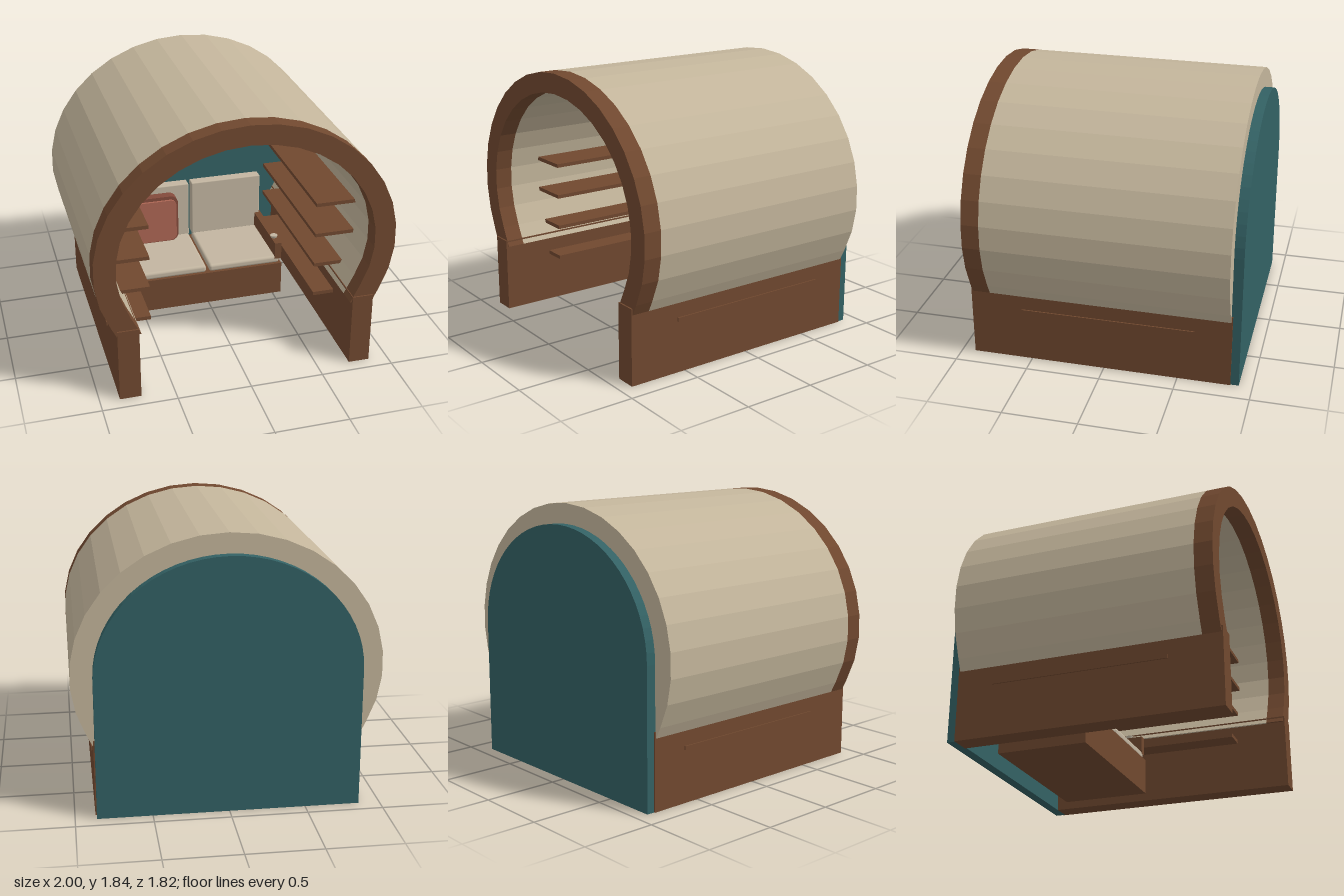
import * as THREE from 'three';
import { RoundedBoxGeometry } from 'three/addons/geometries/RoundedBoxGeometry.js';

const material = (name, color) => {
  const m = new THREE.MeshStandardMaterial({ color });
  m.name = name;
  return m;
};

export function createModel() {
  const model = new THREE.Group();
  model.name = 'archedBooth';

  const wood = material('brown wood', 0x70482f);
  const cream = material('cream shell', 0xc3b59b);
  const fabric = material('cream fabric', 0xc2b5a0);
  const teal = material('teal panel', 0x336164);
  const coral = material('coral pillow', 0xab6553);
  const piping = material('dark coral piping', 0x834a3b);

  const add = (name, geometry, mat, x = 0, y = 0, z = 0) => {
    const mesh = new THREE.Mesh(geometry, mat);
    mesh.name = name;
    mesh.position.set(x, y, z);
    model.add(mesh);
    return mesh;
  };
  // box given by its limits on each axis
  const box = (name, mat, x0, x1, y0, y1, z0, z1, radius = 0) => {
    const size = [Math.abs(x1 - x0), y1 - y0, z1 - z0];
    const geometry = radius
      ? new RoundedBoxGeometry(...size, 3, radius)
      : new THREE.BoxGeometry(...size);
    return add(name, geometry, mat, (x0 + x1) / 2, (y0 + y1) / 2, (z0 + z1) / 2);
  };
  const extrude = (shape, depth) =>
    new THREE.ExtrudeGeometry(shape, { depth, bevelEnabled: false, curveSegments: 6 });

  // Faceted arch: a thick elliptical band, cut off above the side walls
  const centreY = 0.935;
  const band = (rx, ry, endX, endY) => {
    const points = [new THREE.Vector2(-endX, endY)];
    for (let i = -11; i <= 11; i++) {
      const a = THREE.MathUtils.degToRad(i * 10.5);
      points.push(new THREE.Vector2(rx * Math.sin(a), centreY + ry * Math.cos(a)));
    }
    points.push(new THREE.Vector2(endX, endY));
    return points;
  };
  const arch = new THREE.Shape([
    ...band(1.003, 0.9, 0.865, 0.467),
    ...band(0.86, 0.767, 0.71, 0.475).reverse(),
  ]);
  add('archShell', extrude(arch, 1.625), cream, 0, 0, -0.845);
  add('archFrontTrim', extrude(arch, 0.12), wood, 0, 0, 0.78);

  // Back panel with straight sides and a rounded top
  const back = new THREE.Shape([new THREE.Vector2(-0.86, 0), new THREE.Vector2(0.86, 0)]);
  for (let i = 0; i <= 32; i++) {
    const a = (i / 32) * Math.PI;
    back.lineTo(0.86 * Math.cos(a), centreY + 0.767 * Math.sin(a));
  }
  add('backPanel', extrude(back, 0.068), teal, 0, 0, -0.91);

  // Bench base
  box('benchBase', wood, -0.565, 0.565, 0, 0.25, -0.7, -0.09);

  for (const s of [-1, 1]) {
    // Low side wall and four shelves; the lowest pokes through the wall
    box('sideWall', wood, s * 0.725, s * 0.868, 0, 0.515, -0.855, 0.91);
    for (let i = 0; i < 4; i++) {
      const y = 0.363 + i * 0.229;
      box('shelf', wood, s * 0.575, s * 0.877, y - 0.013, y + 0.013, -0.61, 0.56);
    }
    // Seat, backrest and armrest
    box('seatCushion', fabric, s * 0.012, s * 0.55, 0.25, 0.306, -0.66, -0.1, 0.02);
    box('backCushion', fabric, s * 0.012, s * 0.553, 0.3, 0.733, -0.7, -0.62, 0.008);
    box('armrest', wood, s * 0.515, s * 0.565, 0.285, 0.415, -0.7, -0.1);
  }

  // Small dish on the left armrest
  add('armrestDish', new THREE.CylinderGeometry(0.028, 0.022, 0.018, 16), fabric, 0.537, 0.424, -0.2);

  // Pillow: soft body with a darker edge and a raised front face
  const roundedSquare = (w, h, r) => {
    const shape = new THREE.Shape();
    shape.absarc(w - r, h - r, r, 0, Math.PI / 2);
    shape.absarc(-w + r, h - r, r, Math.PI / 2, Math.PI);
    shape.absarc(-w + r, -h + r, r, Math.PI, Math.PI * 1.5);
    shape.absarc(w - r, -h + r, r, Math.PI * 1.5, Math.PI * 2);
    return shape;
  };
  add('pillowEdge', extrude(roundedSquare(0.17, 0.188, 0.06), 0.07), piping, -0.283, 0.492, -0.618);
  add('pillowFace', extrude(roundedSquare(0.153, 0.167, 0.045), 0.018), coral, -0.283, 0.487, -0.548);

  // Ceiling lamp on the back panel
  box('lampBody', fabric, -0.2, 0.2, 1.59, 1.677, -0.842, -0.72);
  box('lampDiffuser', fabric, -0.17, 0.17, 1.576, 1.59, -0.82, -0.74);
  add('lampStem', new THREE.CylinderGeometry(0.012, 0.012, 0.035, 12), fabric, 0, 1.688, -0.78);

  return model;
}
